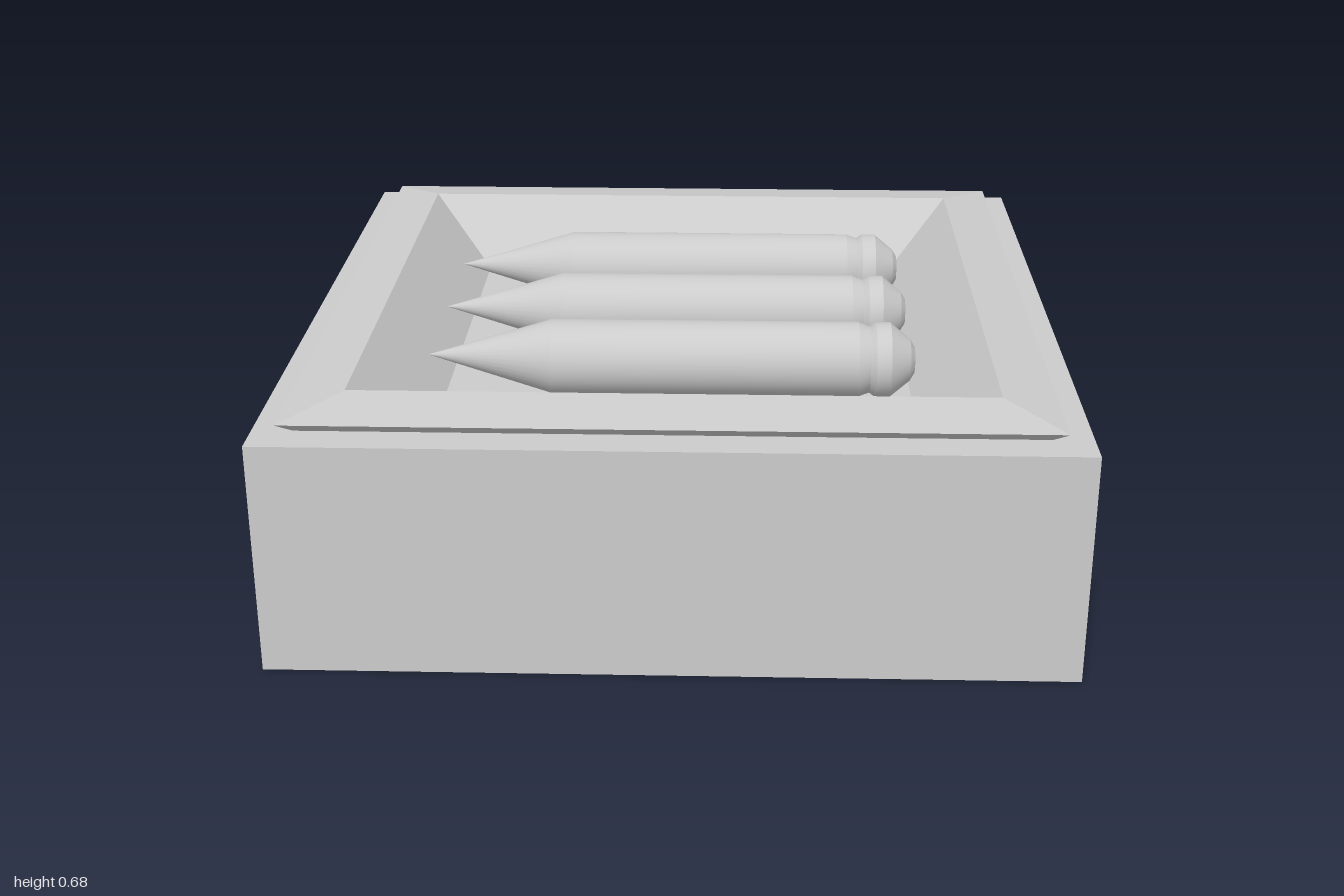
import * as THREE from 'three';
import { toCreasedNormals } from 'three/addons/utils/BufferGeometryUtils.js';

const material = new THREE.MeshStandardMaterial({ color: 0xcccccc });

function addMesh(parent, geometry, name) {
  const mesh = new THREE.Mesh(geometry, material);
  mesh.name = name;
  parent.add(mesh);
  return mesh;
}

// Skin joining rectangular loops [half width, y, half depth]; a loop of zero size closes it.
function rectLoft(loops) {
  const corners = [[-1, 1], [1, 1], [1, -1], [-1, -1]];
  const positions = [];
  const index = [];
  for (const [w, y, d] of loops) {
    for (const [sx, sz] of corners) positions.push(sx * w, y, sz * d);
  }
  for (let i = 0; i < loops.length - 1; i++) {
    for (let k = 0; k < 4; k++) {
      const a = i * 4 + k;
      const b = i * 4 + (k + 1) % 4;
      index.push(a, b, b + 4, a, b + 4, a + 4);
    }
  }
  const geometry = new THREE.BufferGeometry();
  geometry.setAttribute('position', new THREE.Float32BufferAttribute(positions, 3));
  geometry.setIndex(index);
  const flat = geometry.toNonIndexed();
  flat.computeVertexNormals();
  return flat;
}

export function createModel() {
  const group = new THREE.Group();

  // Square block, open on top where the rim sits
  addMesh(group, rectLoft([
    [0, 0, 0], [1, 0, 1], [1, 0.6, 1], [0.9, 0.6, 0.905],
  ]), 'base');

  // Undercut rim with a gently sloping top
  addMesh(group, rectLoft([
    [0.9, 0.6, 0.905], [0.933, 0.635, 0.955], [0.793, 0.66, 0.795],
  ]), 'rim');

  // Sunken tray with sloping walls and a flat floor
  addMesh(group, rectLoft([
    [0.793, 0.66, 0.795], [0.612, 0.48, 0.612], [0, 0.48, 0],
  ]), 'tray');

  // Three pointed rounds lying on the floor, tips towards -x
  const profile = [
    [0, -0.62], [0.035, -0.617], [0.055, -0.605], [0.098, -0.553], [0.098, -0.515],
    [0.087, -0.5], [0.098, -0.47], [0.098, 0.33], [0, 0.658],
  ].map(([r, y]) => new THREE.Vector2(r, y));
  const round = toCreasedNormals(new THREE.LatheGeometry(profile, 32), 0.25);
  round.rotateZ(Math.PI / 2);
  for (const z of [-0.36, 0, 0.36]) {
    addMesh(group, round, 'round').position.set(0, 0.58, z);
  }

  return group;
}
